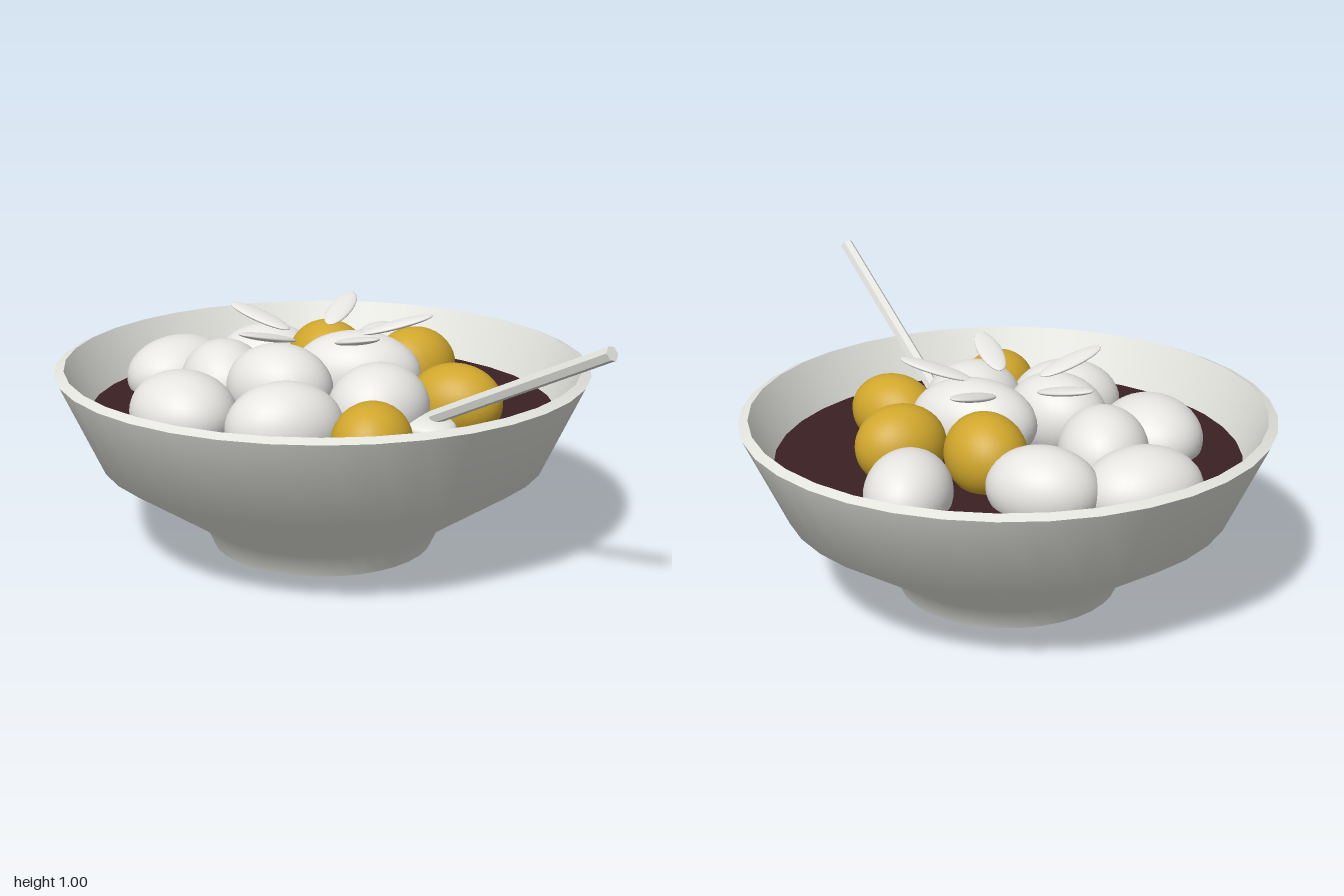
import * as THREE from 'three';
import { toCreasedNormals } from 'three/addons/utils/BufferGeometryUtils.js';

const material = (name, color) => {
  const m = new THREE.MeshStandardMaterial({ color });
  m.name = name;
  return m;
};

export function createModel() {
  const group = new THREE.Group();
  const porcelain = material('porcelain', 0xe4e4df);
  const white = material('dumpling white', 0xe6e5e2);
  const gold = material('dumpling gold', 0xd0a62c);
  const broth = material('dark broth', 0x3b2022);

  const add = (name, geometry, mat) => {
    const mesh = new THREE.Mesh(geometry, mat);
    mesh.name = name;
    group.add(mesh);
    return mesh;
  };
  const bowlZ = -0.02;

  // Bowl: foot, flared wall, bevelled rim and inner wall
  const profile = [
    [0, 0], [0.41, 0], [0.45, 0.09], [0.825, 0.34], [0.98, 0.675],
    [0.945, 0.69], [0.86, 0.51], [0.79, 0.36], [0.42, 0.13], [0, 0.12],
  ].map(([x, y]) => new THREE.Vector2(x, y));
  add('bowl', toCreasedNormals(new THREE.LatheGeometry(profile, 36), 0.8), porcelain).position.z = bowlZ;

  // Soup surface
  const soup = add('soup', new THREE.CircleGeometry(0.862, 48), broth);
  soup.rotation.x = -Math.PI / 2;
  soup.position.set(0, 0.512, bowlZ);

  // Dumplings: x, z, top height, semi-axes a / height / b, turn, colour
  const ball = new THREE.SphereGeometry(1, 32, 20);
  const dumplings = [
    [-0.545, -0.335, 0.70, 0.22, 0.15, 0.18, 0.6, white],
    [-0.215, -0.45, 0.72, 0.205, 0.15, 0.16, -0.15, white],
    [0.24, -0.54, 0.70, 0.2, 0.15, 0.155, 1.65, white],
    [-0.365, -0.095, 0.745, 0.2, 0.16, 0.165, -1.35, white],
    [-0.5, 0.18, 0.70, 0.22, 0.15, 0.185, -0.95, white],
    [-0.155, 0.115, 0.785, 0.2, 0.16, 0.16, -0.4, white],
    [-0.13, 0.425, 0.73, 0.21, 0.16, 0.165, 0.25, white],
    [0.125, -0.035, 0.795, 0.24, 0.16, 0.16, -0.15, white],
    [0.2, 0.27, 0.755, 0.19, 0.16, 0.175, 0.8, white],
    [0.02, -0.305, 0.77, 0.17, 0.15, 0.145, -0.9, gold],
    [0.345, -0.25, 0.755, 0.17, 0.15, 0.145, 0.7, gold],
    [0.48, 0.145, 0.72, 0.175, 0.14, 0.14, -0.45, gold],
    [0.17, 0.565, 0.70, 0.16, 0.14, 0.14, 1.3, gold],
  ];
  for (const [x, z, top, a, h, b, turn, mat] of dumplings) {
    const d = add('dumpling', ball, mat);
    d.position.set(x, top - h, z);
    d.scale.set(a, h, b);
    d.rotation.y = turn;
  }

  // Almond flakes fanned out on top, outer tips raised: x, z, turn
  const flakes = [
    [-0.235, -0.16, 2.55], [0.067, -0.288, 1.24], [0.27, -0.025, 0.04],
    [0.122, 0.215, -1.04], [-0.195, 0.163, -2.36],
  ];
  for (const [x, z, turn] of flakes) {
    const f = add('almondFlake', ball, white);
    f.position.set(x, 0.822, z);
    f.scale.set(0.137, 0.014, 0.048);
    f.rotation.set(0, turn, 0.25);
  }

  // Spoon: four-sided handle leaning over the rim, with a shallow oval head
  const tip = new THREE.Vector3(0.905, 0.98, 0.97);
  const neck = new THREE.Vector3(0.39, 0.595, 0.385);
  const along = tip.clone().sub(neck);
  const handle = add('spoonHandle',
    new THREE.CylinderGeometry(0.026, 0.026, along.length(), 6).toNonIndexed(), porcelain);
  handle.geometry.computeVertexNormals();
  handle.position.copy(neck).add(tip).multiplyScalar(0.5);
  handle.quaternion.setFromUnitVectors(new THREE.Vector3(0, 1, 0), along.normalize());

  const head = add('spoonHead', ball, porcelain);
  head.position.set(0.35, 0.555, 0.34);
  head.scale.set(0.14, 0.04, 0.1);
  head.rotation.y = -0.85;

  return group;
}
